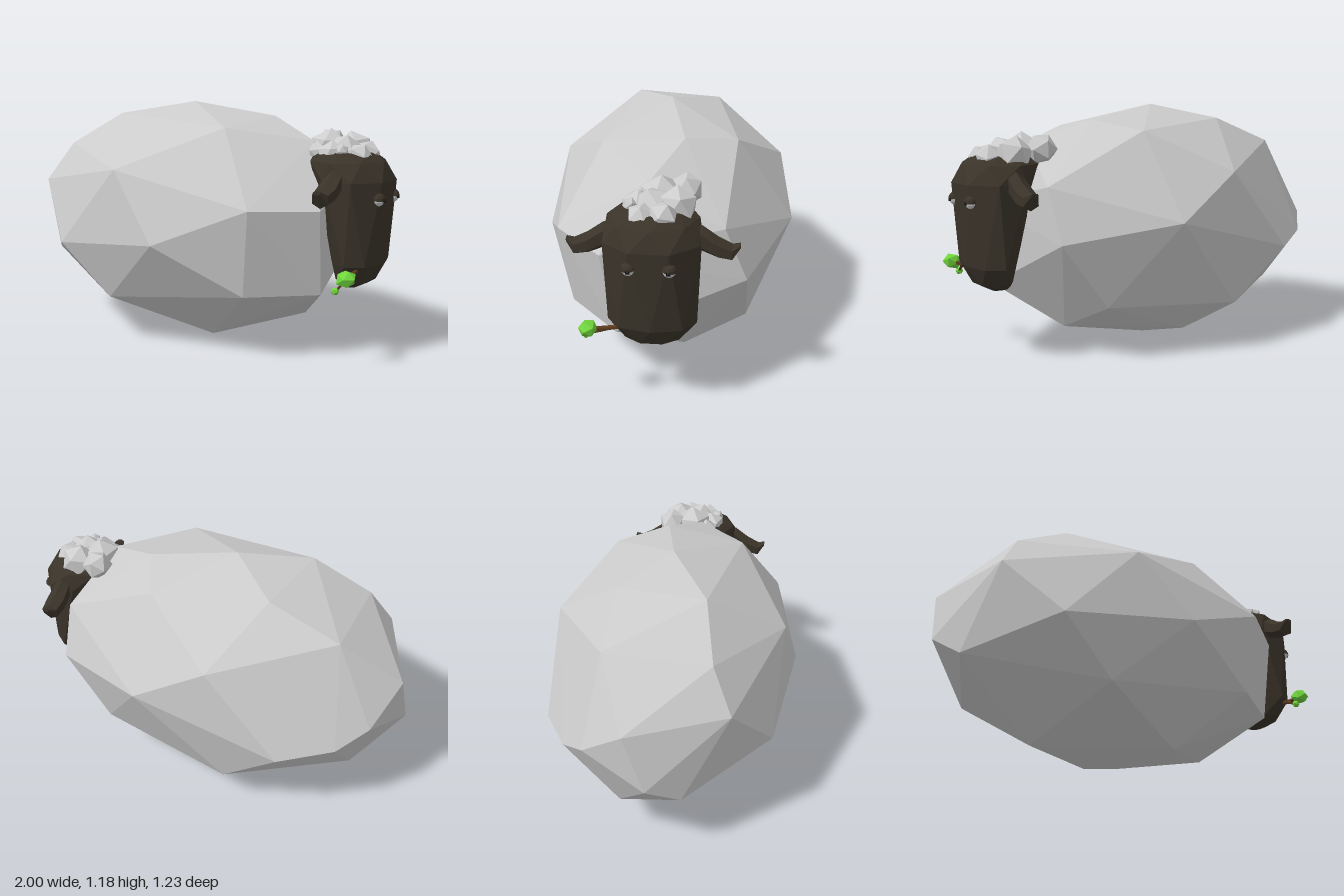
import * as THREE from 'three';
import { ConvexGeometry } from 'three/addons/geometries/ConvexGeometry.js';

const V = (x, y, z) => new THREE.Vector3(x, y, z);
const mat = (color) => new THREE.MeshStandardMaterial({ color, flatShading: true });
const wool = mat(0xcccccc), skin = mat(0x3a3329), bark = mat(0x5a3a1e), green = mat(0x70d63c);

function add(parent, name, geometry, material, pos = [0, 0, 0]) {
  const mesh = new THREE.Mesh(geometry, material);
  mesh.name = name;
  mesh.position.set(...pos);
  parent.add(mesh);
  return mesh;
}

// Woolly body: facet corners as [x, angle around the long axis, bulge], lying on an ellipsoid
function bodyGeometry() {
  const corners = [
    [-1, -80], [-0.98, 115, 1.45], [-0.9, -55, 1.05], [-0.9, 180], [-0.79, 27, 1.06], [-0.79, -110, 1.06],
    [-0.78, 192, 1.03], [-0.69, 55, 1.03], [-0.7, 118, 1.03], [-0.54, -12, 1.04], [-0.54, 193, 1.05],
    [-0.48, -92, 1.04], [-0.41, 70, 1.03], [-0.35, 112], [-0.28, -39, 1.02], [-0.25, -141, 1.045],
    [-0.18, 28, 1.02], [-0.18, 152, 1.02], [-0.08, -118, 1.015], [-0.09, 90], [0, -95], [0.08, -5],
    [0.17, -69, 1.018], [0.17, 173, 1.02], [0.2, 124, 1.01], [0.28, 60], [0.33, 100, 0.98], [0.47, -34],
    [0.51, -103], [0.45, -140], [0.52, 16], [0.62, 85], [0.7, 140, 1.04], [0.69, 181, 1.04],
    [0.76, 27, 0.85], [0.74, -58],
  ];
  return new ConvexGeometry(corners.map(([x, deg, bulge = 1]) => {
    const r = bulge * Math.max(0.2, Math.sqrt(Math.max(0, 1 - ((x + 0.05) / 0.95) ** 2)));
    const a = THREE.MathUtils.degToRad(deg);
    return V(x, 0.59 + 0.594 * r * Math.sin(a), 0.625 * r * Math.cos(a));
  }));
}

// Head: stacked eight-sided rings [y, back x, front x, half width], every other ring turned half a step
function headGeometry() {
  const rings = [
    [0.965, 0.63, 0.89, 0.12], [0.925, 0.6, 0.955, 0.2], [0.84, 0.65, 0.985, 0.208],
    [0.455, 0.75, 0.965, 0.197], [0.365, 0.75, 0.91, 0.12], [0.322, 0.75, 0.83, 0.02],
  ];
  const pts = [];
  rings.forEach(([y, x0, x1, w], k) => {
    const turn = k % 2 ? 0 : Math.PI / 8;
    const grow = 1 / Math.cos(turn);
    for (let i = 0; i < 8; i++) {
      const a = (i / 8) * Math.PI * 2 + turn;
      pts.push(V((x0 + x1) / 2 + grow * Math.cos(a) * (x1 - x0) / 2, y, grow * Math.sin(a) * w));
    }
  });
  return new ConvexGeometry(pts);
}

// Ear: hexagonal sections [z, centre y, half height, half depth] joined along z
function earGeometry() {
  const sections = [
    [0.15, 0.85, 0.05, 0.04], [0.21, 0.84, 0.06, 0.045], [0.28, 0.8, 0.05, 0.052],
    [0.34, 0.78, 0.04, 0.045], [0.375, 0.812, 0.01, 0.02],
  ];
  const n = 6, pos = [], idx = [];
  for (const [z, y, h, d] of sections) {
    for (let i = 0; i < n; i++) {
      const a = (i / n) * Math.PI * 2 + Math.PI / 6;
      pos.push(0.805 + Math.cos(a) * d, y + Math.sin(a) * h, z);
    }
  }
  for (let s = 0; s < sections.length - 1; s++) {
    for (let i = 0; i < n; i++) {
      const a = s * n + i, b = s * n + (i + 1) % n;
      idx.push(a, b, b + n, a, b + n, a + n);
    }
  }
  const last = (sections.length - 1) * n;
  for (let i = 1; i < n - 1; i++) idx.push(last, last + i, last + i + 1);
  const g = new THREE.BufferGeometry();
  g.setAttribute('position', new THREE.Float32BufferAttribute(pos, 3));
  g.setIndex(idx);
  g.computeVertexNormals();
  return g;
}

// Tapered stick between two points
function stick(parent, name, a, b, r0, r1) {
  const dir = b.clone().sub(a);
  const mesh = add(parent, name, new THREE.CylinderGeometry(r1, r0, dir.length(), 6), bark);
  mesh.position.copy(a).add(b).multiplyScalar(0.5);
  mesh.quaternion.setFromUnitVectors(V(0, 1, 0), dir.normalize());
}

export function createModel() {
  const model = new THREE.Group();
  model.name = 'sheep';
  add(model, 'body', bodyGeometry(), wool);

  const head = new THREE.Group();
  head.name = 'head';
  model.add(head);
  add(head, 'skull', headGeometry(), skin);

  // Ears, mirrored by a half turn about the head's upright axis
  const ear = earGeometry();
  add(head, 'leftEar', ear, skin);
  add(head, 'rightEar', ear, skin, [1.61, 0, 0]).rotation.y = Math.PI;

  // Sleepy eyes: ball, pupil and a drooping upper lid
  const lidMaterial = skin.clone();
  lidMaterial.side = THREE.DoubleSide;
  for (const s of [1, -1]) {
    const eye = new THREE.Group();
    eye.name = s > 0 ? 'leftEye' : 'rightEye';
    eye.position.set(0.966, 0.763, s * 0.085);
    head.add(eye);
    add(eye, 'eyeball', new THREE.SphereGeometry(0.031, 10, 8), wool);
    add(eye, 'pupil', new THREE.BoxGeometry(0.006, 0.014, 0.018), mat(0x111111), [0.029, -0.003, 0]);
    const lid = add(eye, 'eyelid', new THREE.SphereGeometry(0.034, 10, 4, 0, Math.PI * 2, 0, Math.PI / 2), lidMaterial);
    lid.rotation.set(s * 0.12, 0, -0.1);
  }

  // Curly tuft on top: [x, y, z, radius]
  const curls = [
    [0.63, 0.99, -0.13, 0.075], [0.76, 0.965, -0.1, 0.092], [0.67, 0.97, -0.02, 0.1],
    [0.76, 0.96, 0.0, 0.09], [0.85, 0.95, -0.045, 0.07], [0.85, 0.945, 0.045, 0.065],
    [0.73, 0.945, 0.075, 0.075], [0.65, 0.95, 0.05, 0.065], [0.79, 0.975, 0.1, 0.033],
  ];
  curls.forEach(([x, y, z, r], i) => {
    add(head, 'curl', new THREE.IcosahedronGeometry(r, 0), wool, [x, y, z]).rotation.set(i * 1.3, i * 0.7, i * 2.1);
  });

  // Leafy twig held in the mouth
  const twig = new THREE.Group();
  twig.name = 'twig';
  model.add(twig);
  stick(twig, 'stem', V(0.9, 0.445, 0.11), V(0.895, 0.425, 0.2), 0.01, 0.012);
  stick(twig, 'upperBranch', V(0.895, 0.425, 0.195), V(0.905, 0.425, 0.27), 0.012, 0.008);
  stick(twig, 'lowerBranch', V(0.895, 0.425, 0.19), V(0.868, 0.372, 0.295), 0.009, 0.005);
  const leaf = add(twig, 'leaf', new THREE.IcosahedronGeometry(0.047, 0), green, [0.908, 0.427, 0.278]);
  leaf.scale.set(1.08, 0.85, 0.95);
  leaf.rotation.set(0.4, 0.3, 0.2);
  add(twig, 'bud', new THREE.IcosahedronGeometry(0.019, 0), green, [0.866, 0.37, 0.297]);
  return model;
}
